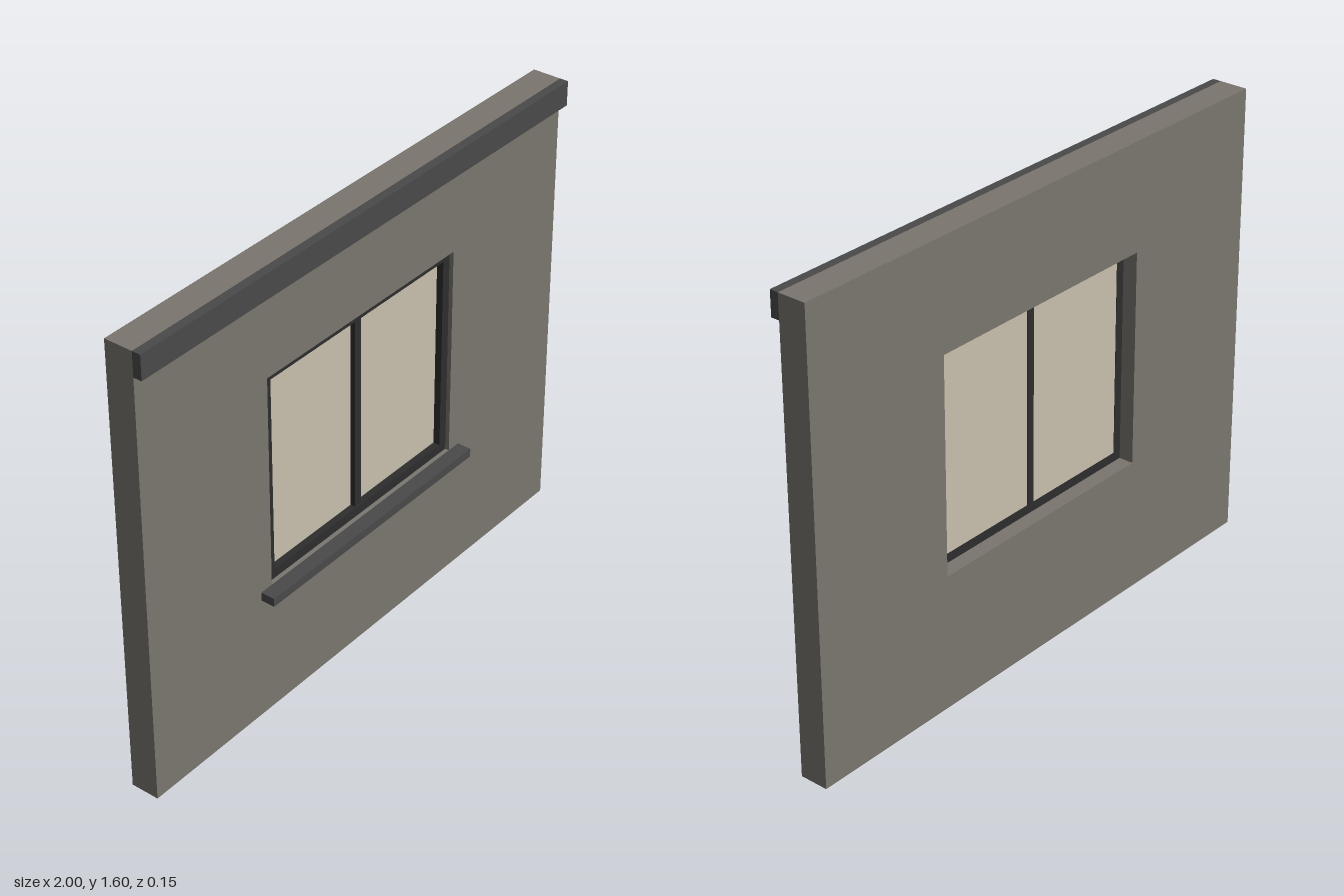
import * as THREE from 'three';

const material = (name, color) => {
  const m = new THREE.MeshStandardMaterial({ color });
  m.name = name;
  return m;
};

export function createModel() {
  const group = new THREE.Group();
  group.name = 'wallWithWindow';
  const plaster = material('wallGrey', 0x7a766f);
  const trim = material('trimGrey', 0x4a4a4a);
  const dark = material('frameCharcoal', 0x2d2d2d);
  const pane = material('paneCream', 0xc8c0ae);

  // Box given by its limits on each axis
  const box = (name, mat, [x0, x1], [y0, y1], [z0, z1]) => {
    const mesh = new THREE.Mesh(new THREE.BoxGeometry(x1 - x0, y1 - y0, z1 - z0), mat);
    mesh.position.set((x0 + x1) / 2, (y0 + y1) / 2, (z0 + z1) / 2);
    mesh.name = name;
    group.add(mesh);
  };

  const rect = (Type, x, y0, y1) => new Type([
    new THREE.Vector2(-x, y0), new THREE.Vector2(x, y0),
    new THREE.Vector2(x, y1), new THREE.Vector2(-x, y1),
  ]);

  // Rectangular slab with a rectangular hole
  const holed = (name, mat, outer, inner, [z0, z1]) => {
    const shape = rect(THREE.Shape, ...outer);
    shape.holes.push(rect(THREE.Path, ...inner));
    const geo = new THREE.ExtrudeGeometry(shape, { depth: z1 - z0, bevelEnabled: false });
    const mesh = new THREE.Mesh(geo, mat);
    mesh.position.z = z0;
    mesh.name = name;
    group.add(mesh);
  };

  // Wall and its opening
  const opening = [0.45, 0.475, 1.225];
  holed('wall', plaster, [1, 0, 1.6], opening, [-0.075, 0.025]);

  // Window set into the opening
  holed('windowFrame', dark, opening, [0.418, 0.507, 1.198], [-0.023, 0.01]);
  box('mullion', dark, [-0.015, 0.015], [0.507, 1.198], [-0.023, 0.003]);
  for (const s of [-1, 1]) {
    const xs = [s * 0.015, s * 0.418].sort((a, b) => a - b);
    box(s < 0 ? 'rightPane' : 'leftPane', pane, xs, [0.507, 1.198], [-0.022, -0.014]);
  }

  // Projecting sill and top fascia
  box('sill', trim, [-0.5, 0.5], [0.445, 0.475], [0.025, 0.075]);
  box('fascia', trim, [-1, 1], [1.515, 1.6], [0.025, 0.055]);

  return group;
}
